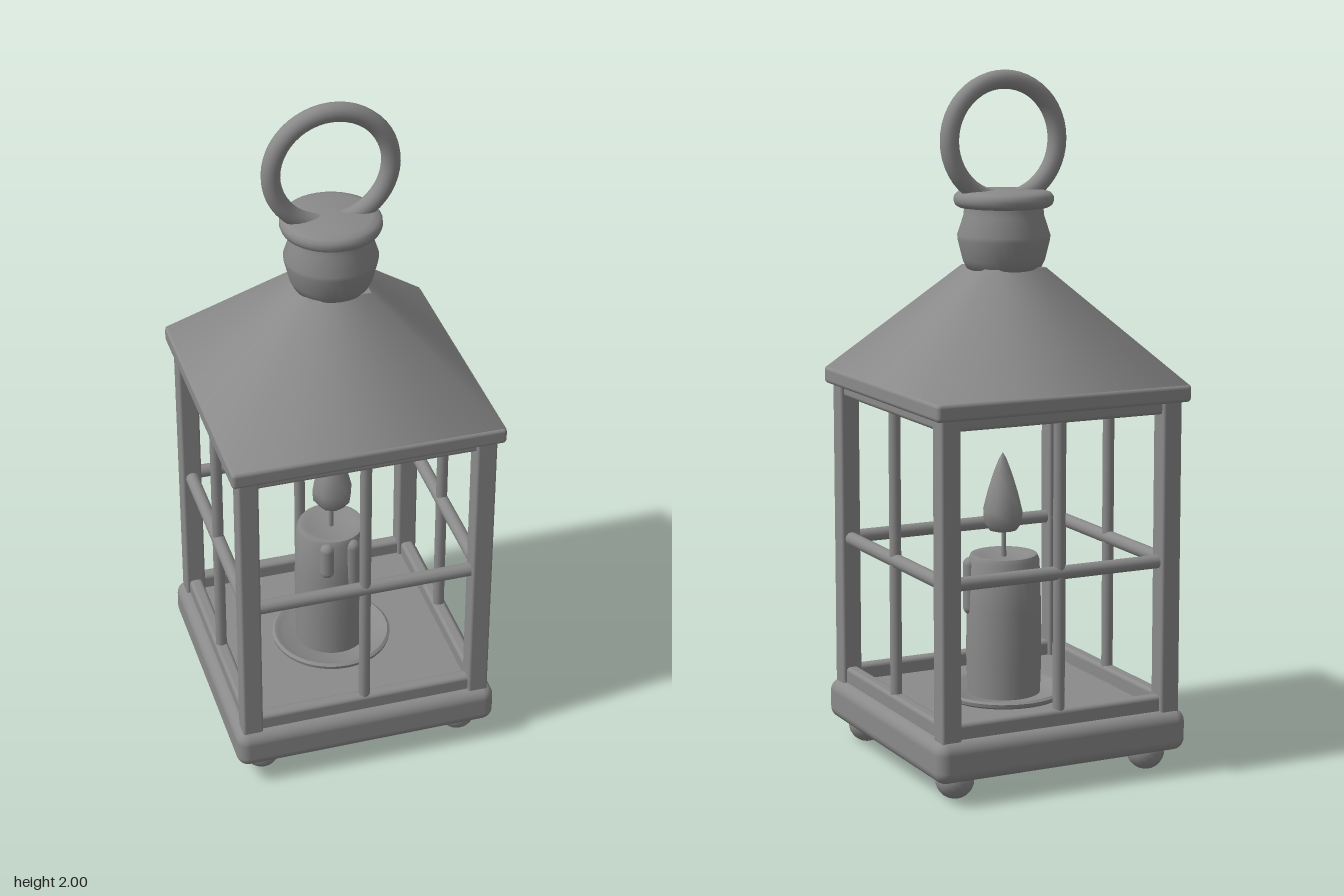
import * as THREE from 'three';
import { RoundedBoxGeometry } from 'three/addons/geometries/RoundedBoxGeometry.js';
import { toCreasedNormals } from 'three/addons/utils/BufferGeometryUtils.js';

const iron = new THREE.MeshStandardMaterial({ color: 0x8a8a8a });

export function createModel() {
  const group = new THREE.Group();
  const add = (name, geometry, x = 0, y = 0, z = 0, parent = group) => {
    const mesh = new THREE.Mesh(geometry, iron);
    mesh.name = name;
    mesh.position.set(x, y, z);
    parent.add(mesh);
    return mesh;
  };
  const lathe = (points, sides, crease = 0.7) => toCreasedNormals(
    new THREE.LatheGeometry(points.map(([r, y]) => new THREE.Vector2(r, y)), sides), crease);

  // Base slab on four ball feet
  add('base', new RoundedBoxGeometry(0.79, 0.12, 0.79, 4, 0.035), 0, 0.125, 0);
  const footGeometry = new THREE.SphereGeometry(0.055, 20, 14);
  const postGeometry = new RoundedBoxGeometry(0.06, 0.92, 0.06, 2, 0.008);
  for (const sx of [-1, 1]) for (const sz of [-1, 1]) {
    add('foot', footGeometry, sx * 0.305, 0.055, sz * 0.305);
    add('cornerPost', postGeometry, sx * 0.345, 0.63, sz * 0.345);
  }

  // Window frame, repeated on the four sides
  const rail = new THREE.CylinderGeometry(0.02, 0.02, 0.68, 12).rotateZ(Math.PI / 2);
  const bar = new THREE.CylinderGeometry(0.017, 0.017, 0.88, 12);
  for (let i = 0; i < 4; i++) {
    const side = new THREE.Group();
    side.name = 'windowFrame';
    side.rotation.y = i * Math.PI / 2;
    add('bottomRail', new RoundedBoxGeometry(0.68, 0.055, 0.04, 2, 0.012), 0, 0.202, 0.345, side);
    add('middleRail', rail, 0, 0.62, 0.345, side);
    add('topRail', new RoundedBoxGeometry(0.68, 0.045, 0.04, 2, 0.012), 0, 1.068, 0.345, side);
    add('verticalBar', bar, 0, 0.64, 0.345, side);
    group.add(side);
  }

  // Roof: thin eave and a cone pushed out to a square, keeping its soft normals
  add('eave', new RoundedBoxGeometry(0.79, 0.05, 0.79, 2, 0.012), 0, 1.105, 0);
  const roof = new THREE.CylinderGeometry(0.09, 0.392, 0.32, 48, 6);
  const p = roof.attributes.position;
  for (let i = 0; i < p.count; i++) {
    const x = p.getX(i), z = p.getZ(i);
    const stretch = Math.hypot(x, z) / (Math.max(Math.abs(x), Math.abs(z)) || 1);
    p.setX(i, x * stretch);
    p.setZ(i, z * stretch);
  }
  add('roof', roof, 0, 1.285, 0);

  // Chimney collar with a rounded, slightly domed cap
  add('collar', lathe([
    [0, 1.42], [0.09, 1.432], [0.106, 1.44], [0.118, 1.465], [0.132, 1.522], [0.133, 1.535],
    [0.115, 1.59], [0.113, 1.612], [0.128, 1.614], [0.138, 1.62], [0.143, 1.632],
    [0.142, 1.645], [0.134, 1.655], [0.115, 1.66], [0, 1.664],
  ], 36, 0.9));

  // Carrying ring
  add('ring', new THREE.TorusGeometry(0.17, 0.027, 14, 48), 0, 1.803, 0);

  // Candle on a shallow dish
  add('dish', lathe([
    [0, 0.18], [0.165, 0.18], [0.178, 0.19], [0.18, 0.2], [0.172, 0.206],
    [0.16, 0.202], [0.148, 0.193], [0, 0.193],
  ], 36));
  add('candle', lathe([
    [0, 0.185], [0.106, 0.185], [0.11, 0.3], [0.109, 0.45], [0.104, 0.59], [0.097, 0.605],
    [0.085, 0.606], [0.07, 0.6], [0, 0.597],
  ], 28));
  add('wick', new THREE.CylinderGeometry(0.007, 0.008, 0.11, 8), 0, 0.635, 0);

  // Wax drips: angle around the candle and lower end
  for (const [angle, bottom] of [[-0.4, 0.48], [0.4, 0.41], [1.35, 0.43]]) {
    const length = 0.6 - bottom;
    add('waxDrip', new THREE.CapsuleGeometry(0.022, length - 0.044, 6, 10),
      Math.sin(angle) * 0.1, bottom + length / 2, Math.cos(angle) * 0.1);
  }

  // Flame
  add('flame', lathe([
    [0, 0.668], [0.04, 0.676], [0.058, 0.7], [0.06, 0.735], [0.046, 0.79],
    [0.028, 0.845], [0.012, 0.885], [0, 0.905],
  ], 8, 1), 0.003, 0, 0);

  return group;
}
